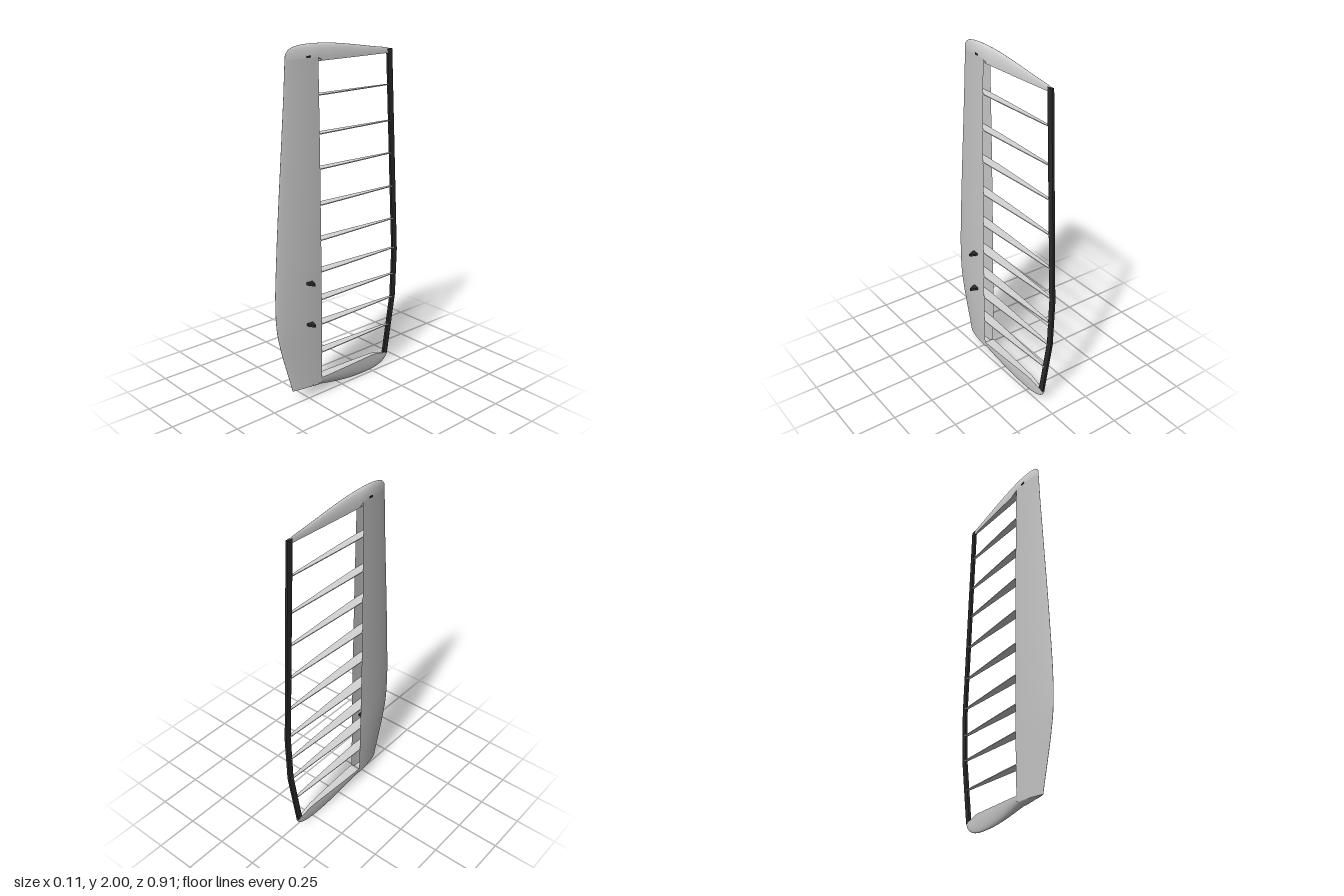
import * as THREE from 'three';
import { mergeGeometries } from 'three/addons/utils/BufferGeometryUtils.js';

const CX = -0.022;      // centre plane of the surface
const SPAR_Z = 0.16;    // open rear edge of the nose skin

// Outline tables: [y, z] edges and [y, half thickness]
const LEAD = [[0, 0.35], [0.075, 0.352], [0.2, 0.388], [0.32, 0.422], [0.44, 0.449], [0.52, 0.457], [0.6, 0.459],
  [0.7, 0.457], [0.8, 0.451], [1, 0.437], [1.2, 0.421], [1.5, 0.395], [1.75, 0.374], [1.93, 0.362], [2, 0.36]];
const TRAIL = [[0, -0.39], [0.08, -0.388], [0.45, -0.446], [0.74, -0.453], [1.93, -0.385], [2, -0.383]];
const THICK = [[0, 0.029], [0.1, 0.03], [0.45, 0.034], [0.8, 0.034], [1.4, 0.029], [1.93, 0.022], [2, 0.022]];

function lerpTable(t, y) {
  let i = 0;
  while (i < t.length - 2 && y > t[i + 1][0]) i++;
  const k = (y - t[i][0]) / (t[i + 1][0] - t[i][0]);
  return t[i][1] + (t[i + 1][1] - t[i][1]) * THREE.MathUtils.clamp(k, 0, 1);
}

// Half thickness of the symmetric aerofoil at height y and depth z
function half(z, y) {
  const l = lerpTable(LEAD, y), t = lerpTable(TRAIL, y);
  const u = THREE.MathUtils.clamp((l - z) / (l - t), 0, 1);
  const f = u < 0.3 ? Math.pow(Math.sin((Math.PI / 2) * u / 0.3), 0.7) : 1 - 0.8 * Math.pow((u - 0.3) / 0.7, 1.2);
  return lerpTable(THICK, y) * f;
}

// Surface through rows of points
function loft(rows, flip = false) {
  const n = rows[0].length, index = [];
  for (let i = 0; i < rows.length - 1; i++) {
    for (let j = 0; j < n - 1; j++) {
      const a = i * n + j, b = a + n, c = b + 1, d = a + 1;
      if (flip) index.push(a, c, b, a, d, c);
      else index.push(a, b, c, a, c, d);
    }
  }
  const g = new THREE.BufferGeometry();
  g.setAttribute('position', new THREE.Float32BufferAttribute(rows.flat(2), 3));
  g.setIndex(index);
  g.computeVertexNormals();
  return g;
}

// Rounded end cap: half-ellipse sections between a base line and a tip outline
function capGeometry(outline, baseY, refY, flip) {
  const curve = new THREE.CatmullRomCurve3(outline.map(([z, y]) => new THREE.Vector3(0, y, z)));
  const dome = [], base = [];
  for (const p of curve.getPoints(40)) {
    const b = baseY(p.z), h = half(p.z, refY), row = [];
    for (let j = 0; j <= 16; j++) {
      const a = Math.PI * j / 16;
      row.push([CX + h * Math.cos(a), b + (p.y - b) * Math.sin(a), p.z]);
    }
    dome.push(row);
    base.push([row[0], row[16]]);
  }
  return mergeGeometries([loft(dome, flip), loft(base, !flip)]);
}

// Flat plate drawn in (z, y), extruded across x
function sidePlate(points, width) {
  const shape = new THREE.Shape(points.map(([z, y]) => new THREE.Vector2(z, y)));
  const g = new THREE.ExtrudeGeometry(shape, { depth: width, bevelEnabled: false });
  return g.rotateY(-Math.PI / 2).translate(CX + width / 2, 0, 0);
}

export function createModel() {
  const group = new THREE.Group();
  const skin = new THREE.MeshStandardMaterial({ name: 'skinGrey', color: 0xcacaca, side: THREE.DoubleSide });
  const pale = new THREE.MeshStandardMaterial({ name: 'paleGrey', color: 0xd4d4d4, side: THREE.DoubleSide });
  const dark = new THREE.MeshStandardMaterial({ name: 'darkGrey', color: 0x2a2a2a });
  const add = (name, geometry, material) => {
    const m = new THREE.Mesh(geometry, material);
    m.name = name;
    group.add(m);
    return m;
  };

  // Nose skin, wrapped around the leading edge and open at the back
  const rows = [];
  for (let i = 0; i <= 48; i++) {
    const y = 0.072 + (1.93 - 0.072) * i / 48, l = lerpTable(LEAD, y), row = [];
    for (let j = -14; j <= 14; j++) {
      const k = j / 14, z = l - (l - SPAR_Z) * k * k;
      row.push([CX - Math.sign(j) * half(z, y), y, z]);
    }
    rows.push(row);
  }
  add('noseSkin', loft(rows), skin);

  // Ribs: thin aerofoil plates
  for (const y of [0.265, 0.44, 0.59, 0.755, 0.94, 1.14, 1.34, 1.53, 1.735, 1.912]) {
    const z0 = lerpTable(LEAD, y) - 0.03, z1 = lerpTable(TRAIL, y) + 0.025, side = [];
    for (let i = 0; i <= 16; i++) {
      const z = z0 + (z1 - z0) * i / 16;
      side.push([half(z, y) * 0.95, z]);
    }
    const outline = [...side, ...side.map(([x, z]) => [-x, z]).reverse()];
    const shape = new THREE.Shape(outline.map(([x, z]) => new THREE.Vector2(x, z)));
    const g = new THREE.ExtrudeGeometry(shape, { depth: 0.005, bevelEnabled: false });
    add('rib', g.rotateX(Math.PI / 2).translate(CX, y + 0.0025, 0), pale);
  }

  // End caps
  add('topCap', capGeometry(
    [[0.361, 1.932], [0.357, 1.957], [0.335, 1.98], [0.29, 1.994], [0.22, 2], [0.1, 1.997],
      [0, 1.988], [-0.12, 1.972], [-0.25, 1.953], [-0.36, 1.937], [-0.385, 1.925]],
    z => z > SPAR_Z ? 1.928 : 1.914, 1.93, false), pale);
  add('bottomCap', capGeometry(
    [[0.352, 0.074], [0.25, 0.064], [0.16, 0.052], [0.08, 0.035], [0, 0.02], [-0.1, 0.007], [-0.2, 0.002],
      [-0.28, 0.006], [-0.34, 0.021], [-0.375, 0.045], [-0.39, 0.072]],
    z => z > SPAR_Z ? 0.078 : 0.104 - 0.026 * THREE.MathUtils.smoothstep(-z, 0.25, 0.39), 0.08, true), pale);

  // Trailing edge strip
  const edge = [[-0.386, 0.075], [-0.446, 0.45], [-0.454, 0.74], [-0.385, 1.932]];
  add('trailingEdge', sidePlate([...edge, ...edge.map(([z, y]) => [z + 0.034, y]).reverse()], 0.014), dark);

  // Control horns on the left face
  for (const y of [0.47, 0.715]) {
    const horn = new THREE.Shape([[-0.005, 0.225], [0.012, 0.225], [0.05, 0.237], [0.057, 0.243],
      [0.055, 0.249], [0.03, 0.262], [0.012, 0.265], [-0.005, 0.265]].map(([x, z]) => new THREE.Vector2(x, z)));
    const g = new THREE.ExtrudeGeometry(horn, { depth: 0.014, bevelEnabled: false });
    add('controlHorn', g.rotateX(Math.PI / 2).translate(0, y + 0.007, 0), dark);
  }

  // Small pin through the top cap
  add('topPin', new THREE.BoxGeometry(0.044, 0.01, 0.026).translate(CX, 1.936, 0.222), dark);

  return group;
}
